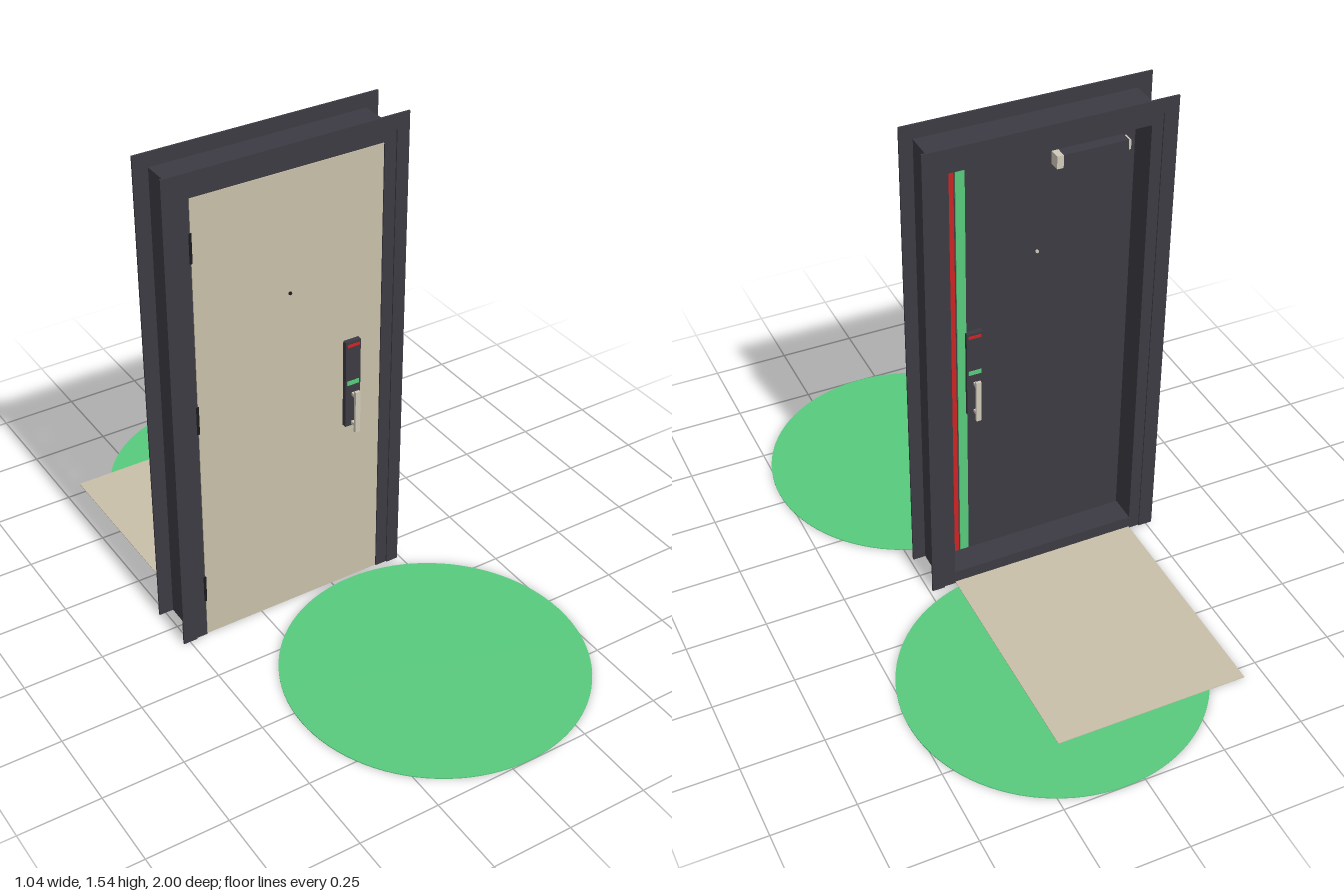
import * as THREE from 'three';

export function createModel() {
  const root = new THREE.Group();
  const paint = (name, color) => {
    const m = new THREE.MeshStandardMaterial({ color });
    m.name = name;
    return m;
  };
  const charcoal = paint('charcoal', 0x3c3b43);
  const beige = paint('beige', 0xc8bfa8);
  const green = paint('green', 0x58ca7d);
  const red = paint('red', 0xcc2424);
  const silver = paint('silver', 0xd0c9ba);
  const black = paint('black', 0x1c1c20);

  const add = (parent, name, geometry, material) => {
    const mesh = new THREE.Mesh(geometry, material);
    mesh.name = name;
    parent.add(mesh);
    return mesh;
  };
  // Box given by its limits on each axis
  const box = (parent, name, material, [x0, x1], [y0, y1], [z0, z1]) => {
    const mesh = add(parent, name, new THREE.BoxGeometry(x1 - x0, y1 - y0, z1 - z0), material);
    mesh.position.set((x0 + x1) / 2, (y0 + y1) / 2, (z0 + z1) / 2);
    return mesh;
  };
  const group = (name) => {
    const g = new THREE.Group();
    g.name = name;
    root.add(g);
    return g;
  };

  // Frame: two jambs, header and the sill behind the leaf
  const frame = group('doorFrame');
  const depth = [-0.076, 0.076];
  box(frame, 'hingeJamb', charcoal, [-0.475, -0.44], [0, 1.5], depth);
  box(frame, 'latchJamb', charcoal, [0.163, 0.2], [0, 1.5], depth);
  box(frame, 'header', charcoal, [-0.44, 0.163], [1.467, 1.5], depth);
  box(frame, 'sill', charcoal, [-0.44, 0.163], [0, 0.045], [-0.076, 0.01]);

  // Thin casings on both faces of the wall
  const arch = new THREE.Shape();
  [[-0.52, 0], [-0.475, 0], [-0.475, 1.498], [0.2, 1.498], [0.2, 0], [0.24, 0], [0.24, 1.543], [-0.52, 1.543]]
    .forEach(([x, y], i) => (i ? arch.lineTo(x, y) : arch.moveTo(x, y)));
  const casing = new THREE.ExtrudeGeometry(arch, { depth: 0.006, bevelEnabled: false });
  add(frame, 'frontCasing', casing, charcoal).position.z = 0.074;
  add(frame, 'backCasing', casing, charcoal).position.z = -0.08;

  // Leaf with a pale front skin and dark inner side
  const leaf = group('doorLeaf');
  box(leaf, 'leafCore', charcoal, [-0.438, 0.161], [0.002, 1.465], [0.01, 0.069]);
  box(leaf, 'frontPanel', beige, [-0.438, 0.161], [0.002, 1.465], [0.069, 0.075]);
  box(leaf, 'redStrip', red, [0.114, 0.143], [0.05, 1.46], [0.006, 0.011]);
  box(leaf, 'greenStrip', green, [0.081, 0.109], [0.05, 1.46], [0.006, 0.011]);

  // Hinges
  for (const y of [0.175, 0.775, 1.32]) {
    const hinge = add(leaf, 'hinge', new THREE.CylinderGeometry(0.005, 0.005, 0.09, 12), black);
    hinge.position.set(-0.44, y, 0.074);
  }

  // Peephole ends
  for (const [z, material] of [[0.076, black], [0.008, silver]]) {
    const eye = add(leaf, 'peephole', new THREE.CylinderGeometry(0.005, 0.005, 0.006, 16), material);
    eye.rotation.x = Math.PI / 2;
    eye.position.set(-0.14, 1.09, z);
  }

  // Lock with pull handle, built facing +z from its mounting face
  const addLock = (name, z, side) => {
    const lock = group(name);
    box(lock, 'lockPlate', charcoal, [-0.025, 0.025], [0.585, 0.875], [0, 0.015]);
    box(lock, 'redLight', red, [-0.02, 0.02], [0.857, 0.866], [0.014, 0.017]);
    box(lock, 'greenLight', green, [-0.02, 0.02], [0.728, 0.742], [0.014, 0.017]);
    box(lock, 'handleBar', silver, [-0.008, 0.008], [0.575, 0.715], [0.034, 0.043]);
    for (const y of [0.595, 0.695]) {
      box(lock, 'handleMount', silver, [-0.005, 0.005], [y - 0.005, y + 0.005], [0.013, 0.036]);
    }
    lock.position.set(0.06, 0, z);
    if (side < 0) lock.rotation.y = Math.PI;
  };
  addLock('frontLock', 0.075, 1);
  addLock('backLock', 0.01, -1);

  // Door closer on the inner side
  const closer = group('doorCloser');
  box(closer, 'closerBody', charcoal, [-0.4, -0.2], [1.365, 1.405], [-0.025, 0.01]);
  box(closer, 'closerCap', silver, [-0.2, -0.18], [1.365, 1.405], [-0.025, 0.01]);
  box(closer, 'closerCap', silver, [-0.41, -0.4], [1.37, 1.4], [-0.02, 0.01]);

  // Round floor zones on either side, and the floor sheet behind the door
  const floor = group('floorZones');
  for (const z of [0.543, -0.543]) {
    add(floor, 'floorDisc', new THREE.CylinderGeometry(0.457, 0.457, 0.003, 96), green)
      .position.set(0.06, 0.0015, z);
  }
  box(floor, 'floorSheet', beige, [-0.44, 0.163], [0.004, 0.006], [-0.79, -0.076]);

  return root;
}
